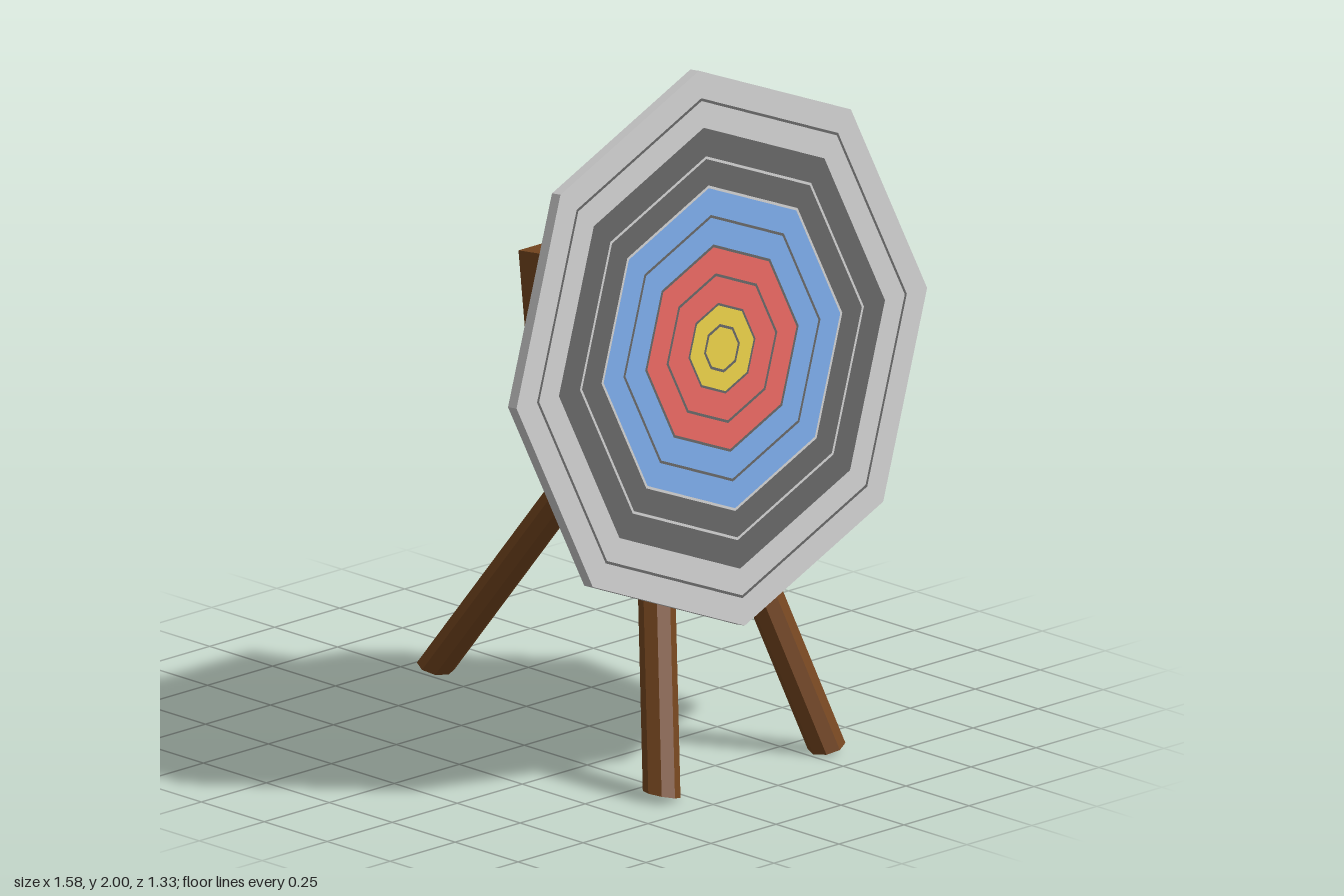
import * as THREE from 'three';

const mat = (color) => new THREE.MeshStandardMaterial({ color, flatShading: true });
const white = mat(0xcccccc);
const black = mat(0x646464);
const blue = mat(0x7aa8e6);
const red = mat(0xe66660);
const yellow = mat(0xe6cc46);
const wood = mat(0x75461f);

const TILT = THREE.MathUtils.degToRad(-6.6);
const SIDES = 8;

function add(parent, name, geometry, material) {
  const mesh = new THREE.Mesh(geometry, material);
  mesh.name = name;
  parent.add(mesh);
  return mesh;
}

// Slanted pole: an octagonal section spanned by sideX and sideZ, swept from foot to top
function pole(foot, top, sideX, sideZ) {
  const geometry = new THREE.CylinderGeometry(1, 1, 1, SIDES).translate(0, 0.5, 0);
  const basis = new THREE.Matrix4().makeBasis(sideX, top.clone().sub(foot), sideZ);
  return geometry.applyMatrix4(basis.setPosition(foot));
}

function createTarget() {
  const target = new THREE.Group();
  target.name = 'target';
  const radius = 0.789;
  const thickness = 0.035;

  // Board behind the painted face
  const board = new THREE.CylinderGeometry(radius, radius, thickness - 0.001, SIDES);
  board.rotateX(Math.PI / 2).translate(0, 0, -thickness / 2 - 0.0005);
  add(target, 'targetBoard', board, white);

  // Scoring bands from the rim inward: outer radius and paint
  const bands = [
    [radius, white], [0.711, black], [0.703, white],
    [0.627, black], [0.546, white], [0.538, black],
    [0.463, white], [0.455, blue], [0.379, black], [0.371, blue],
    [0.295, black], [0.287, red], [0.213, black], [0.205, red],
    [0.129, black], [0.122, yellow], [0.069, black], [0.061, yellow],
  ];
  bands.forEach(([outer, paint], i) => {
    const inner = i + 1 < bands.length ? bands[i + 1][0] : 0;
    const geometry = inner > 0
      ? new THREE.RingGeometry(inner, outer, SIDES)
      : new THREE.CircleGeometry(outer, SIDES);
    add(target, 'scoringBand' + (i + 1), geometry, paint);
  });

  target.position.set(0, 1.217, 0.527);
  target.rotation.x = TILT;
  return target;
}

function createStand() {
  const stand = new THREE.Group();
  stand.name = 'stand';

  // Block that carries the target
  const block = add(stand, 'block', new THREE.BoxGeometry(0.495, 0.493, 0.493), wood);
  block.position.set(0, 1.2125, 0.2475);
  block.rotation.x = TILT;

  // Front legs, splayed sideways and forward
  const r = 0.053;
  const splay = THREE.MathUtils.degToRad(14.5);
  for (const s of [1, -1]) {
    const geometry = pole(
      new THREE.Vector3(s * 0.317, 0.0135, 0.615),
      new THREE.Vector3(s * 0.05, 1.05, 0.3),
      new THREE.Vector3(r * Math.cos(splay), s * r * Math.sin(splay), 0),
      new THREE.Vector3(0, 0, r),
    );
    add(stand, s > 0 ? 'frontLegLeft' : 'frontLegRight', geometry, wood);
  }

  // Rear leg, leaning far back
  const lean = THREE.MathUtils.degToRad(15);
  const rear = pole(
    new THREE.Vector3(0, 0.035, -0.61),
    new THREE.Vector3(0, 1.05, 0.229),
    new THREE.Vector3(r, 0, 0),
    new THREE.Vector3(0, -r * Math.sin(lean), r * Math.cos(lean)),
  );
  add(stand, 'rearLeg', rear, wood);
  return stand;
}

export function createModel() {
  const model = new THREE.Group();
  model.name = 'targetOnTripod';
  model.add(createTarget(), createStand());
  return model;
}
